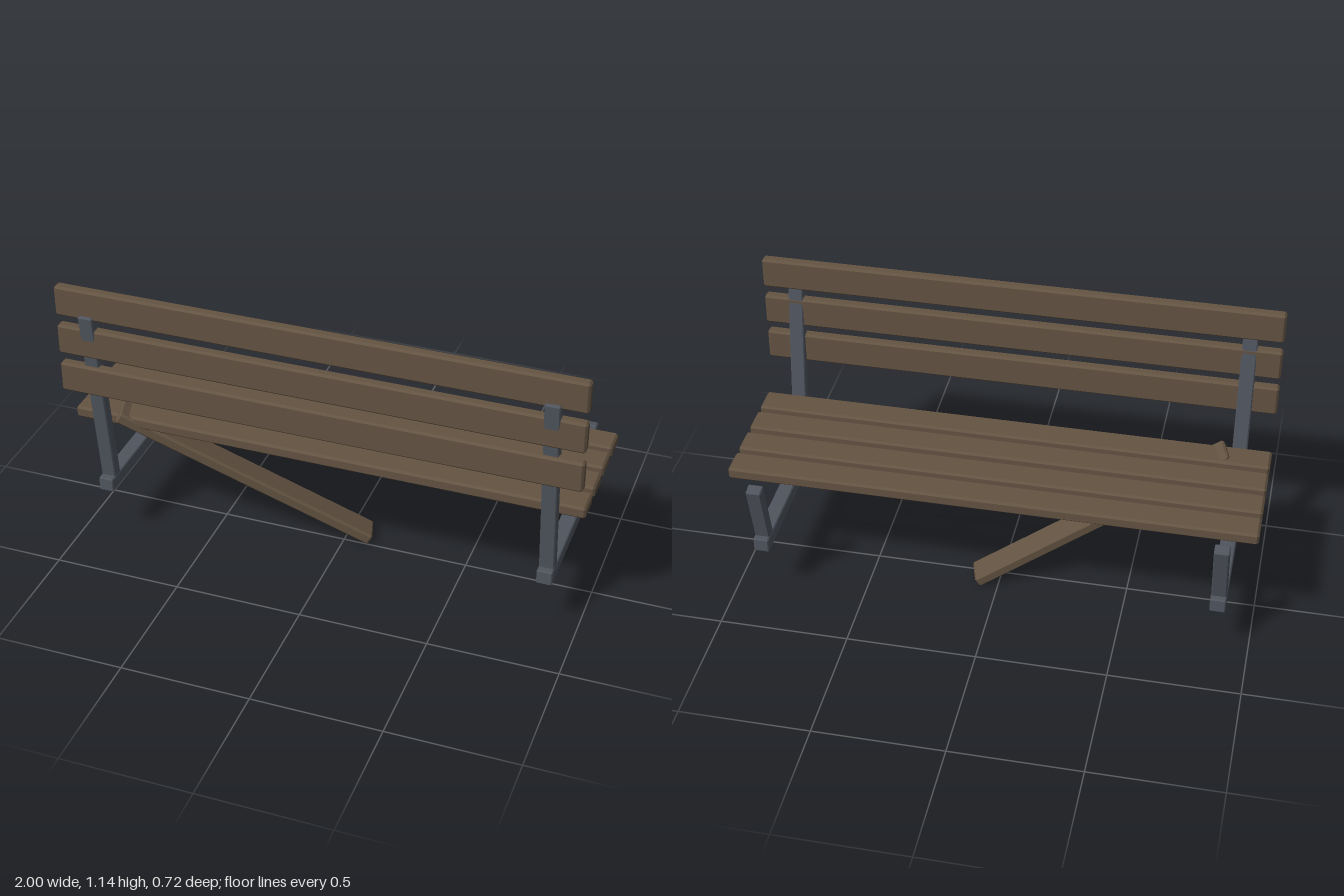
import * as THREE from 'three';
import { ConvexGeometry } from 'three/addons/geometries/ConvexGeometry.js';

const wood = new THREE.MeshStandardMaterial({ color: 0x635342, flatShading: true });
const metal = new THREE.MeshStandardMaterial({ color: 0x50555e, flatShading: true });

// Box with every edge chamfered by c
function chamferBox(w, h, d, c) {
  const half = [w / 2, h / 2, d / 2];
  const points = [];
  for (const sx of [-1, 1]) for (const sy of [-1, 1]) for (const sz of [-1, 1]) {
    for (let full = 0; full < 3; full++) {
      const p = half.map((v, i) => (i === full ? v : v - c));
      points.push(new THREE.Vector3(sx * p[0], sy * p[1], sz * p[2]));
    }
  }
  return new ConvexGeometry(points);
}

function add(parent, name, geometry, material, x, y, z) {
  const mesh = new THREE.Mesh(geometry, material);
  mesh.name = name;
  mesh.position.set(x, y, z);
  parent.add(mesh);
  return mesh;
}

// Square-cut bar leaning in the side plane, from (z0, y0) up to (z1, y1)
function leaningBar(parent, name, z0, y0, z1, y1) {
  const length = Math.hypot(z1 - z0, y1 - y0);
  const bar = add(parent, name, chamferBox(0.057, length, 0.045, 0.004), metal,
    0, (y0 + y1) / 2, (z0 + z1) / 2);
  bar.rotation.x = Math.atan2(z1 - z0, y1 - y0);
}

export function createModel() {
  const bench = new THREE.Group();
  bench.name = 'brokenBench';

  // Seat slats
  const seatSlat = chamferBox(2, 0.047, 0.11, 0.008);
  [0.2, 0.063, -0.075, -0.211].forEach((z, i) =>
    add(bench, `seatSlat${i + 1}`, seatSlat, wood, 0, 0.54, z));

  // Backrest slats
  const backSlat = chamferBox(2, 0.121, 0.042, 0.008);
  [0.754, 0.916, 1.078].forEach((y, i) =>
    add(bench, `backSlat${i + 1}`, backSlat, wood, 0, y, 0.327));

  // Metal side frames: foot bar, tall back upright, short front support
  for (const side of [1, -1]) {
    const frame = new THREE.Group();
    frame.name = side > 0 ? 'leftFrame' : 'rightFrame';
    frame.position.x = side * 0.876;
    add(frame, 'footBar', chamferBox(0.059, 0.058, 0.619, 0.004), metal, 0, 0.253, -0.012);
    leaningBar(frame, 'backUpright', 0.242, 0.24, 0.338, 1.036);
    leaningBar(frame, 'frontSupport', -0.266, 0.245, -0.335, 0.537);
    bench.add(frame);
  }

  // Loose plank leaning from the seat to the ground
  const plank = add(bench, 'loosePlank', chamferBox(1.11, 0.046, 0.11, 0.008), wood,
    -0.37, 0.289, 0.085);
  plank.rotation.set(0, 0.29, -0.513, 'YZX');

  return bench;
}
